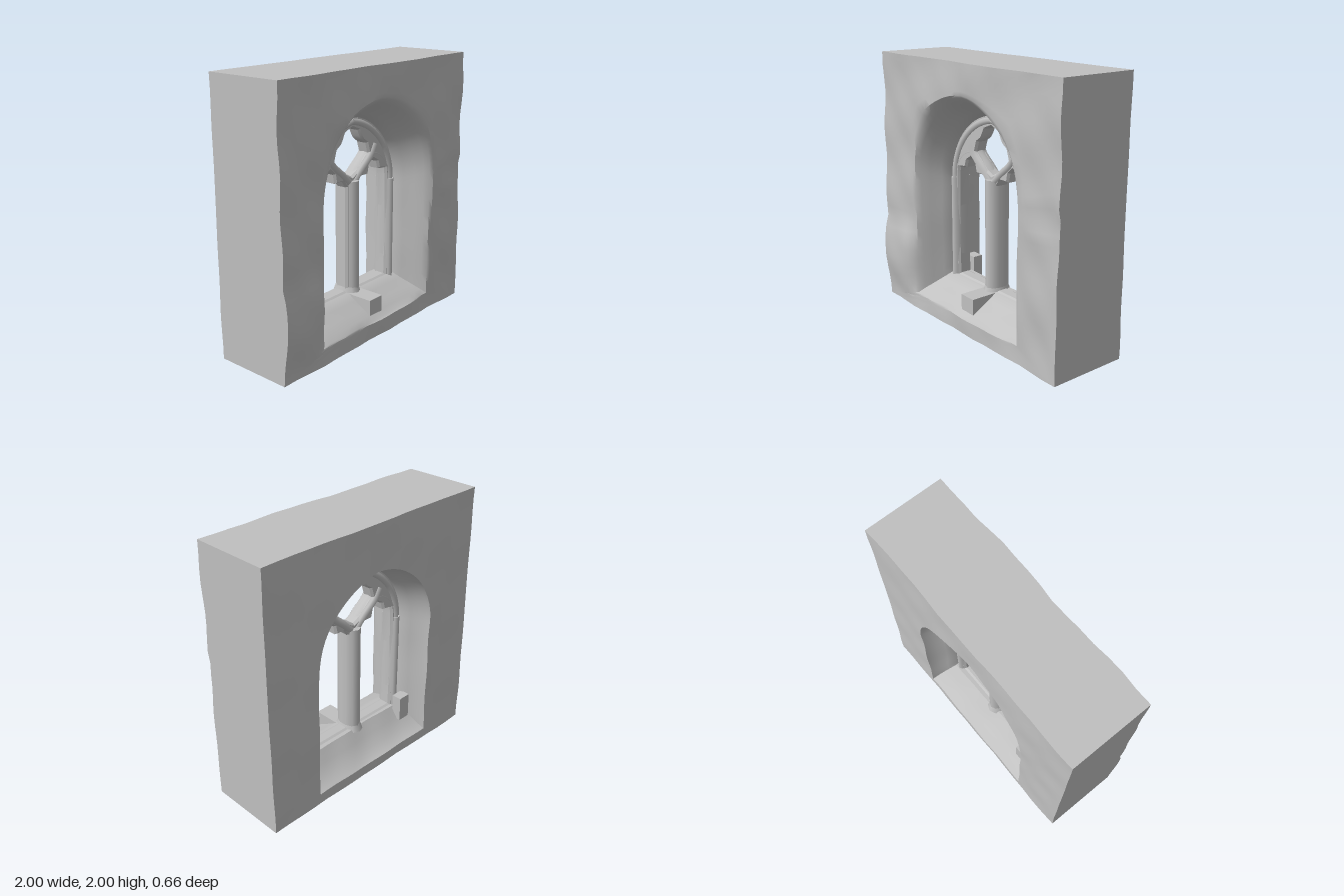
import * as THREE from 'three';
import { toCreasedNormals } from 'three/addons/utils/BufferGeometryUtils.js';

const stone = new THREE.MeshStandardMaterial({ color: 0xc0c0c0 });
stone.name = 'weathered stone';

// Outline segments: sill, jamb, half arch
const SILL = 16, JAMB = 14, ARC = 16;
const lerp = (a, b, t) => a + (b - a) * t;

// Fill in the left half of a loop by mirroring the right half
function mirrorLoop(right) {
  const left = right.slice(1, -1).reverse().map(([x, y]) => [-x, y]);
  return [...right, ...left];
}

// Pointed arch loop: starts at the middle of the sill, runs anticlockwise
function archLoop(w, bottom, spring, rise) {
  const c = (rise * rise - w * w) / (2 * w), R = w + c;
  const end = Math.atan2(rise, c);
  const p = [];
  for (let i = 0; i < SILL / 2; i++) p.push([w * i / (SILL / 2), bottom]);
  for (let i = 0; i < JAMB; i++) p.push([w, lerp(bottom, spring, i / JAMB)]);
  for (let i = 0; i <= ARC; i++) {
    const a = end * i / ARC;
    p.push([R * Math.cos(a) - c, spring + R * Math.sin(a)]);
  }
  return mirrorLoop(p);
}

// Wall edge loop with matching point count
function wallLoop() {
  const p = [];
  for (let i = 0; i < SILL / 2; i++) p.push([i / (SILL / 2), 0]);
  for (let i = 0; i < JAMB; i++) p.push([1, 1.2 * i / JAMB]);
  for (let i = 0; i < ARC / 2; i++) p.push([1, lerp(1.2, 2, i / (ARC / 2))]);
  for (let i = 0; i <= ARC / 2; i++) p.push([1 - i / (ARC / 2), 2]);
  return mirrorLoop(p);
}

// Gentle unevenness of worn stone
function wear(x, y, s) {
  return 0.006 * Math.sin(7 * x + 3 * y + s) + 0.005 * Math.sin(11 * y - 5 * x + 2 * s)
    + 0.004 * Math.sin(17 * x + 13 * y + 3 * s);
}
const step = (a, b, v) => THREE.MathUtils.smoothstep(v, a, b);

function frontWear(x, y) {
  const bulge = 0.035 * (1 - step(-0.7, -0.6, x)) * (1 - step(0.55, 0.7, y)) * step(0, 0.4, y);
  const groove = 0.02 * step(0.62, 0.75, x) * Math.exp(-(((y - 1.09) / 0.04) ** 2));
  return wear(x, y, 0) + bulge - groove;
}

// Wall: one continuous skin from the front edge, through the opening, to the back edge
function wallGeometry() {
  const edge = wallLoop();
  const front = archLoop(0.6, 0.13, 1.13, 0.63);
  const inner = archLoop(0.48, 0.28, 1.05, 0.56);
  const back = archLoop(0.57, 0.08, 1.05, 0.6);
  const rings = [];
  const ring = (a, b, t, z, bump) => rings.push(a.map(([x, y], i) => {
    const px = lerp(x, b[i][0], t), py = lerp(y, b[i][1], t);
    return [px, py, z + bump(px, py)];
  }));
  const backWear = (x, y) => 0.5 * wear(x, y, 4);
  const soft = (x, y) => 0.7 * wear(x, y, 2);
  for (let k = 0; k <= 8; k++) ring(edge, front, k / 8 * 0.94, 0.285, frontWear);
  for (const [t, z] of [[0, 0.272], [0.2, 0.235], [0.45, 0.17], [0.75, 0.09], [1, 0.03], [1, -0.05], [1, -0.12]])
    ring(front, inner, t, z, soft);
  for (const [t, z] of [[0.4, -0.18], [0.75, -0.24], [0.95, -0.3]]) ring(inner, back, t, z, soft);
  for (let k = 0; k <= 8; k++) ring(back, edge, k / 8, -0.322, backWear);

  const n = edge.length, index = [];
  for (let r = 0; r < rings.length; r++) {
    const q = (r + 1) % rings.length;
    for (let i = 0; i < n; i++) {
      const j = (i + 1) % n;
      index.push(r * n + i, r * n + j, q * n + j, r * n + i, q * n + j, q * n + i);
    }
  }
  const g = new THREE.BufferGeometry();
  g.setAttribute('position', new THREE.Float32BufferAttribute(rings.flat(2), 3));
  g.setIndex(index);
  return toCreasedNormals(g, 0.7);
}

// Pierced tracery plate with two cusped lights and a foiled eye
function traceryGeometry() {
  const vec = (pts, s = 1) => pts.map(([x, y]) => new THREE.Vector2(s * x, y));
  const shape = new THREE.Shape(vec(archLoop(0.5, 0.2, 1.05, 0.57)));
  const light = [[0.4, 0.29], [0.41, 0.6], [0.4, 1.1], [0.39, 1.16], [0.31, 1.17], [0.29, 1.23],
    [0.24, 1.26], [0.195, 1.22], [0.18, 1.15], [0.1, 1.15], [0.065, 1.1], [0.065, 0.29]];
  const eye = [[0, 1.17], [0.06, 1.2], [0.19, 1.31], [0.165, 1.39], [0.12, 1.42], [0.1, 1.45],
    [0.075, 1.5], [0, 1.53]];
  for (const s of [-1, 1]) shape.holes.push(new THREE.Path(vec(light, s)));
  shape.holes.push(new THREE.Path(vec(mirrorLoop(eye))));
  const g = new THREE.ExtrudeGeometry(shape, {
    depth: 0.07, bevelThickness: 0.02, bevelSize: 0.012, bevelOffset: -0.012, bevelSegments: 1,
  });
  return toCreasedNormals(g.translate(0, 0, -0.075), 0.5);
}

export function createModel() {
  const group = new THREE.Group();
  const add = (name, geometry, x = 0, y = 0, z = 0) => {
    const m = new THREE.Mesh(geometry, stone);
    m.name = name;
    m.position.set(x, y, z);
    group.add(m);
    return m;
  };
  add('wall', wallGeometry());
  add('traceryPlate', traceryGeometry());

  // Shafts: faceted column between the lights and one on each jamb
  const shaft = (name, x, r, y0, y1, depth) => {
    const m = add(name, new THREE.CylinderGeometry(r, r, y1 - y0, 10), x, (y0 + y1) / 2, -0.04);
    m.scale.z = depth;
  };
  shaft('mullion', 0.003, 0.068, 0.24, 1.14, 1.45);
  const foot = add('mullionFoot', new THREE.CylinderGeometry(0.068, 0.085, 0.06, 10), 0, 0.29, -0.04);
  foot.scale.z = 1.4;

  // Rounded ribs following the arch, the light heads and the fork of the mullion
  const rib = (name, pts, r) => {
    const curve = new THREE.CatmullRomCurve3(pts.map(([x, y]) => new THREE.Vector3(x, y, 0)));
    const m = add(name, new THREE.TubeGeometry(curve, 20, r, 8), 0, 0, -0.04);
    m.scale.z = 2.1;
  };
  const archRight = archLoop(0.445, 0.28, 1.05, 0.525).slice(SILL / 2 + JAMB, SILL / 2 + JAMB + ARC + 1);
  for (const s of [-1, 1]) {
    const side = s < 0 ? 'right' : 'left';
    const flip = (pts) => pts.map(([x, y]) => [s * x, y]);
    shaft(side + 'JambShaft', s * 0.445, 0.042, 0.24, 1.07, 2);
    rib(side + 'ArchRib', flip(archRight), 0.036);
    rib(side + 'ForkRib', flip([[0.01, 1.11], [0.1, 1.195], [0.21, 1.29], [0.26, 1.37]]), 0.036);
    rib(side + 'LightHeadRib', flip([[0.43, 1.14], [0.36, 1.24], [0.29, 1.29], [0.21, 1.3]]), 0.028);
  }

  // Raised stone on the front sill and a broken stub on the back sill
  add('sillBlock', new THREE.BoxGeometry(0.14, 0.15, 0.24), 0, 0.205, 0.12);
  add('brokenStub', new THREE.BoxGeometry(0.1, 0.2, 0.08), -0.45, 0.29, -0.17);
  return group;
}
